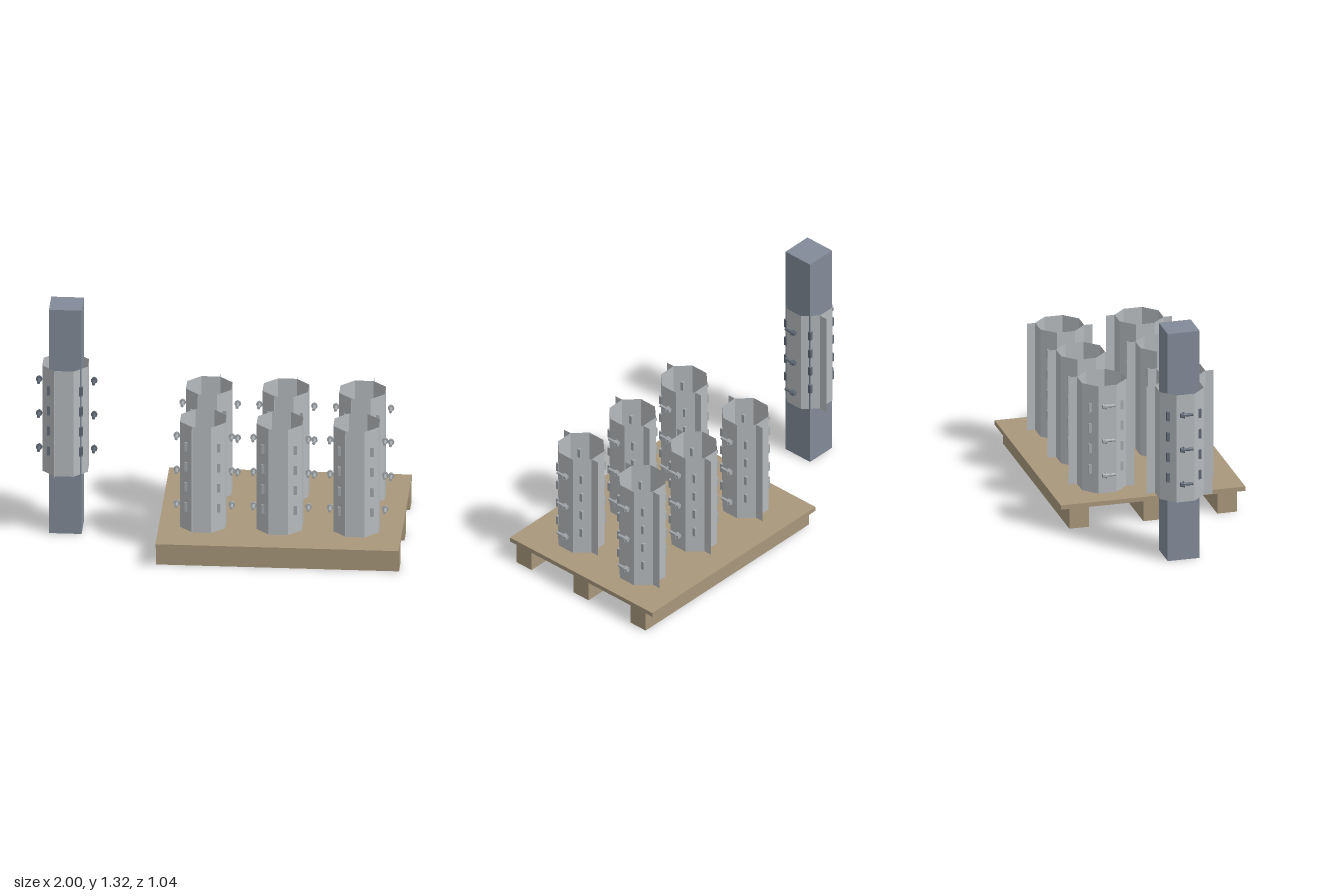
import * as THREE from 'three';
import { mergeGeometries } from 'three/addons/utils/BufferGeometryUtils.js';

const mat = (name, color, side = THREE.FrontSide) => {
  const m = new THREE.MeshStandardMaterial({ color, side, flatShading: true });
  m.name = name;
  return m;
};

const R = 0.123;                    // octagon inradius
const H = R * Math.tan(Math.PI / 8); // half of one octagon side
const SLEEVE_H = 0.62;

export function createModel() {
  const wood = mat('pallet wood', 0xa8977b);
  const concrete = mat('post blue grey', 0x828b98);
  const sheet = mat('sheet steel', 0xb6babd, THREE.DoubleSide);
  const steel = mat('light bolt steel', 0xa6abaf);
  const darkSteel = mat('dark bolt steel', 0x616a76);

  const root = new THREE.Group();
  const add = (parent, name, geo, material, x = 0, y = 0, z = 0) => {
    const m = new THREE.Mesh(geo, material);
    m.name = name;
    m.position.set(x, y, z);
    parent.add(m);
    return m;
  };

  // Bent sheet: four panels and one outward flange, the other half is a half turn of it
  const path = [[H, -R], [R, -H], [R, H], [H, R], [-H, R], [-H, R + 0.047]];
  const strips = [];
  for (let i = 0; i < path.length - 1; i++) {
    const [x0, z0] = path[i], [x1, z1] = path[i + 1];
    const g = new THREE.PlaneGeometry(Math.hypot(x1 - x0, z1 - z0), SLEEVE_H);
    g.rotateY(-Math.atan2(z1 - z0, x1 - x0) + Math.PI);
    g.translate((x0 + x1) / 2, SLEEVE_H / 2, (z0 + z1) / 2);
    strips.push(g);
  }
  const halfShell = mergeGeometries(strips);

  // Bolt along z with its head at the back
  const disc = (r, len, sides, z) =>
    new THREE.CylinderGeometry(r, r, len, sides).rotateX(Math.PI / 2).translate(0, 0, z);
  const boltGeo = mergeGeometries([
    disc(0.0085, 0.052, 12, 0.009),
    disc(0.0175, 0.005, 16, -0.0165),
    disc(0.0145, 0.016, 6, -0.027),
  ]);
  const lugGeo = new THREE.BoxGeometry(0.018, 0.052, 0.018);

  // Two half shells with lugs on the diagonals and bolts at the sides
  const addSleeve = (name, x, y, z, hardware) => {
    const g = new THREE.Group();
    g.name = name;
    g.position.set(x, y, z);
    root.add(g);
    add(g, 'leftHalfShell', halfShell, sheet, -0.004);
    add(g, 'rightHalfShell', halfShell, sheet, -0.004).rotation.y = Math.PI;
    for (const sx of [-1, 1]) {
      for (const h of [0.11, 0.31, 0.51]) add(g, 'bolt', boltGeo, hardware, sx * 0.149, h, 0);
      for (const sz of [-1, 1])
        for (const h of [0.135, 0.253, 0.371, 0.489])
          add(g, 'lug', lugGeo, hardware, sx * 0.087 - 0.002, h, sz * 0.087);
    }
  };

  // Pallet: deck on three runners
  add(root, 'palletDeck', new THREE.BoxGeometry(1.315, 0.025, 1.036), wood, 0.3425, 0.1275, 0);
  for (const z of [-0.415, 0, 0.415])
    add(root, 'palletRunner', new THREE.BoxGeometry(1.315, 0.115, 0.11), wood, 0.3425, 0.0575, z);

  // Sleeves stored on the pallet
  for (const x of [-0.073, 0.342, 0.757])
    for (const z of [-0.2225, 0.2225]) addSleeve('storedSleeve', x, 0.14, z, steel);

  // Post with a sleeve fitted round it
  add(root, 'post', new THREE.BoxGeometry(0.177, 1.315, 0.179), concrete, -0.834, 0.6575, 0);
  addSleeve('fittedSleeve', -0.834, 0.35, 0, darkSteel);

  return root;
}
